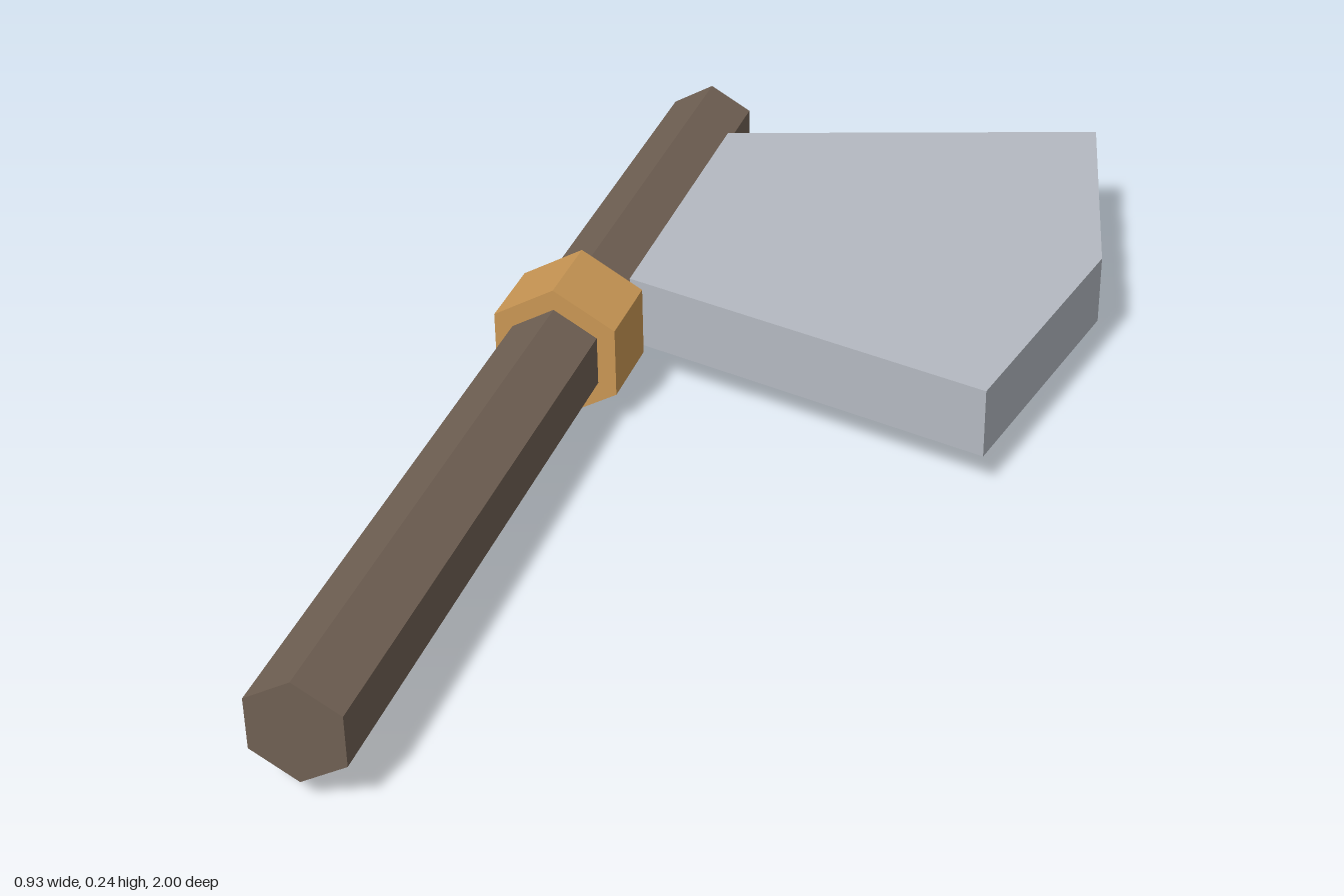
import * as THREE from 'three';

const AXIS_X = -0.363, AXIS_Y = 0.122;

function material(name, color) {
  const m = new THREE.MeshStandardMaterial({ color, flatShading: true });
  m.name = name;
  return m;
}

// Hexagonal bar along z, with a corner pointing up
function hexBar(name, radius, zBack, zFront, mat) {
  const geometry = new THREE.CylinderGeometry(radius, radius, zFront - zBack, 6);
  geometry.rotateX(Math.PI / 2);
  const mesh = new THREE.Mesh(geometry, mat);
  mesh.name = name;
  mesh.position.set(AXIS_X, AXIS_Y, (zBack + zFront) / 2);
  return mesh;
}

export function createModel() {
  const group = new THREE.Group();
  group.name = 'axe';
  const wood = material('dark wood', 0x706053);
  const brass = material('brass', 0xca9754);
  const steel = material('steel', 0xb4b9c1);

  group.add(hexBar('handle', 0.085, -0.95, 1, wood));
  group.add(hexBar('collar', 0.121, -0.197, -0.051, brass));

  // Flat flared blade, outlined in x and z and extruded through y
  const outline = [[-0.289, -0.806], [0.367, -1], [0.465, -0.515], [0.367, -0.03], [-0.289, -0.224]];
  const shape = new THREE.Shape(outline.map(([x, z]) => new THREE.Vector2(x, z)));
  const bladeGeometry = new THREE.ExtrudeGeometry(shape, { depth: 0.122, bevelEnabled: false });
  bladeGeometry.rotateX(Math.PI / 2);
  const blade = new THREE.Mesh(bladeGeometry, steel);
  blade.name = 'blade';
  blade.position.y = 0.185;
  group.add(blade);

  return group;
}
